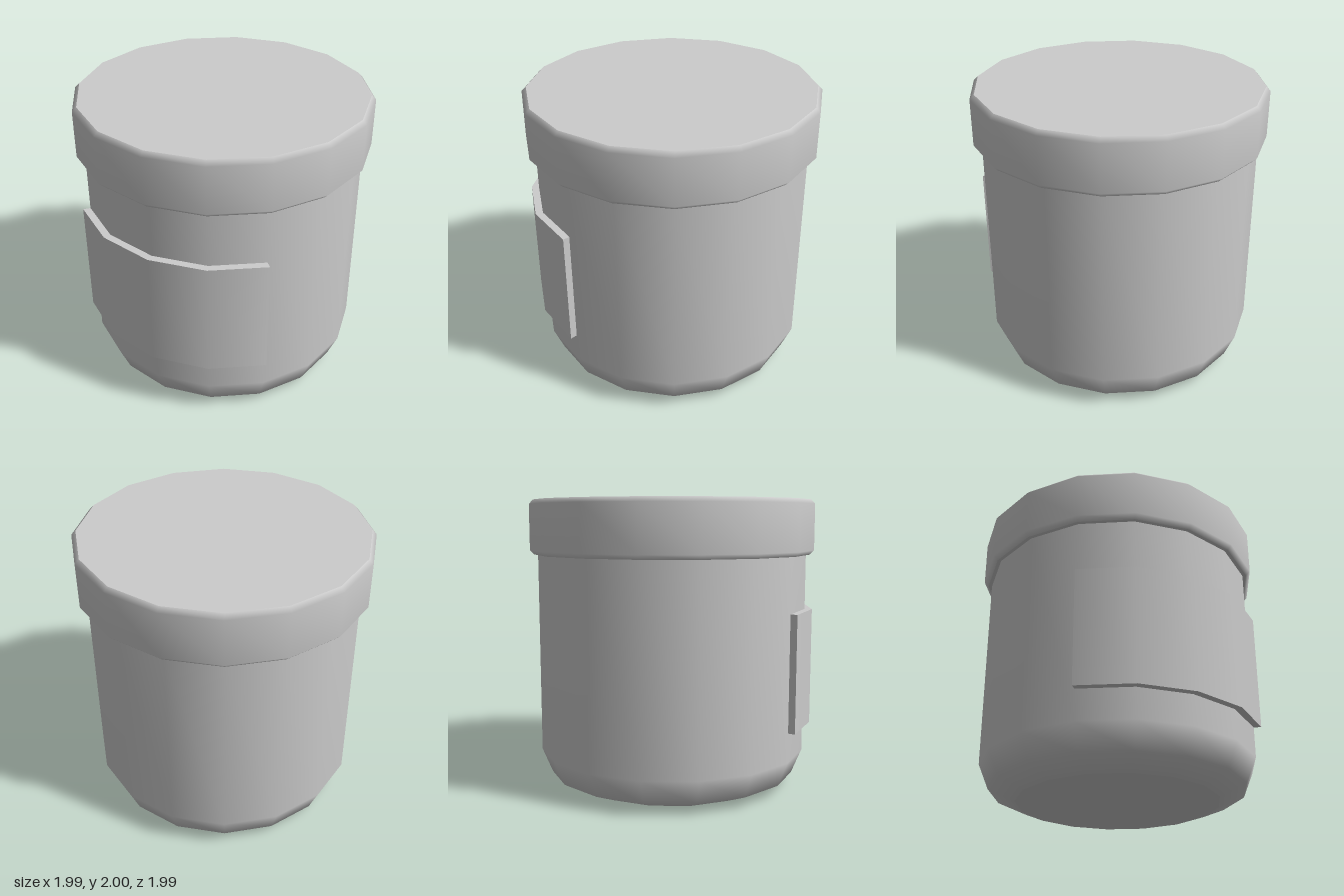
import * as THREE from 'three';

const SIDES = 16;

export function createModel() {
  const grey = new THREE.MeshStandardMaterial({ color: 0xcccccc });
  grey.name = 'light grey';

  const jar = new THREE.Group();
  jar.name = 'jar';

  // Each run of the profile is smooth in itself; runs meet in a sharp edge.
  function turned(name, runs, segments = SIDES, start = 0, length = Math.PI * 2) {
    const part = new THREE.Group();
    part.name = name;
    runs.forEach((run, i) => {
      const points = run.map(([r, y]) => new THREE.Vector2(r, y));
      const mesh = new THREE.Mesh(new THREE.LatheGeometry(points, segments, start, length), grey);
      mesh.name = `${name}Surface${i + 1}`;
      part.add(mesh);
    });
    jar.add(part);
    return part;
  }

  // Body: flat base, rounded foot and straight wall
  turned('body', [
    [[0, 0], [0.69, 0]],
    [[0.69, 0], [0.87, 0.075], [0.94, 0.245], [0.94, 1.65]],
  ]);

  // Lid: underside, bevelled rim and flat top
  turned('lid', [
    [[0.9, 1.625], [0.965, 1.625]],
    [[0.965, 1.625], [0.995, 1.655], [0.995, 1.97], [0.965, 2]],
    [[0.965, 2], [0, 2]],
  ]);

  // Label: curved plate over the front quarter, following the wall's facets
  const inner = 0.94, outer = 0.99, low = 0.45, high = 1.25;
  const label = turned('label', [
    [[inner, low], [outer, low]],
    [[outer, low], [outer, high]],
    [[outer, high], [inner, high]],
  ], 4, -Math.PI / 4, Math.PI / 2);

  // Flat ends of the label
  for (const side of [-1, 1]) {
    const end = new THREE.Mesh(new THREE.PlaneGeometry(outer - inner, high - low), grey);
    const r = (inner + outer) / 2 * Math.SQRT1_2;
    end.name = side > 0 ? 'leftLabelEnd' : 'rightLabelEnd';
    end.position.set(side * r, (low + high) / 2, r);
    end.rotation.y = side * Math.PI * 0.75;
    label.add(end);
  }

  return jar;
}
